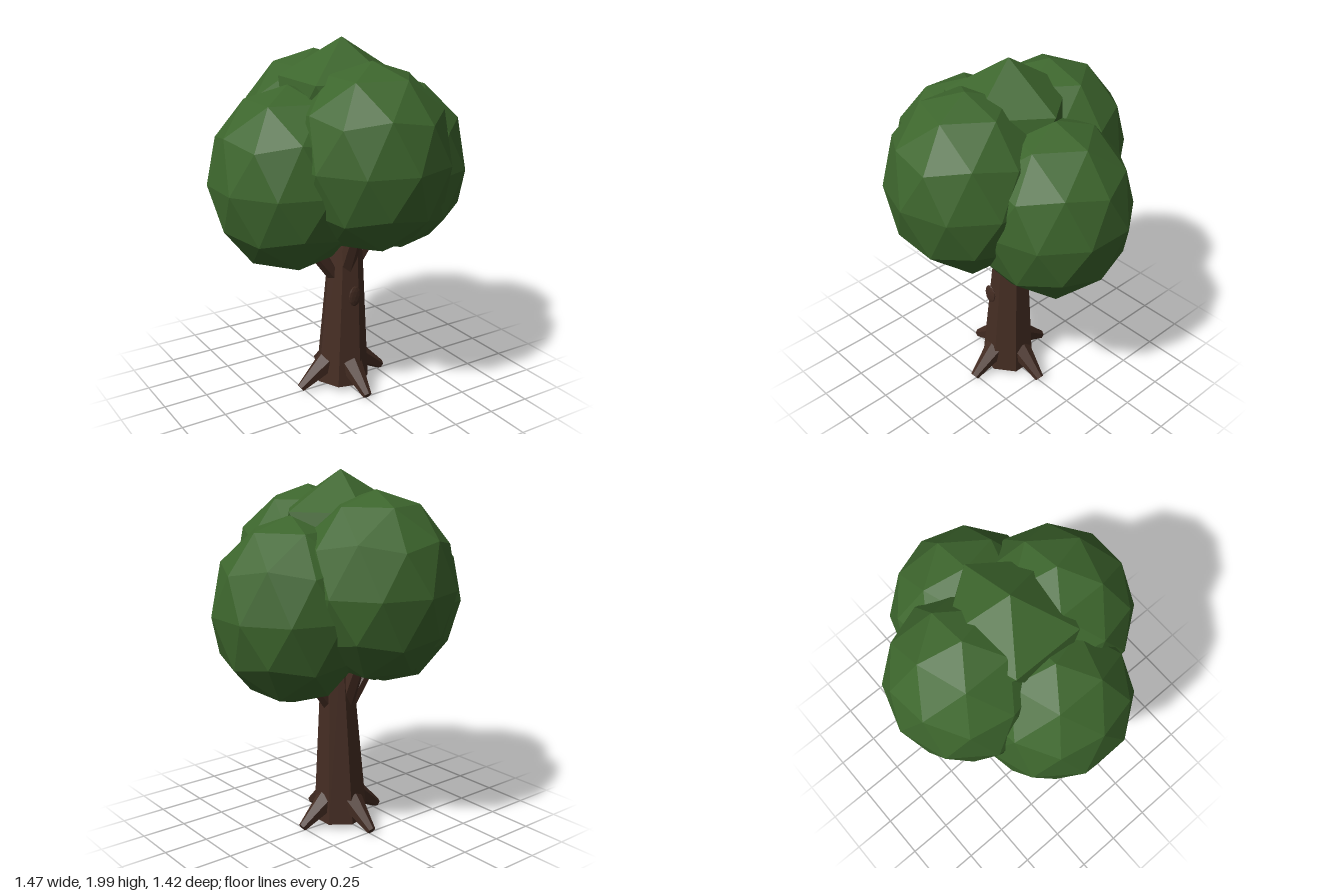
import * as THREE from 'three';

export function createModel() {
  const tree = new THREE.Group();
  tree.name = 'tree';
  const bark = new THREE.MeshStandardMaterial({ color: 0x452d23, flatShading: true });
  bark.name = 'bark brown';
  const leaf = new THREE.MeshStandardMaterial({ color: 0x3d662d, flatShading: true });
  leaf.name = 'leaf green';

  const add = (name, geometry, material) => {
    const mesh = new THREE.Mesh(geometry, material);
    mesh.name = name;
    tree.add(mesh);
    return mesh;
  };

  // Faceted ball with one corner pointing straight up
  const ball = (rx, ry, rz, detail) =>
    new THREE.IcosahedronGeometry(1, detail)
      .rotateX(-Math.atan2((1 + Math.sqrt(5)) / 2, 1))
      .rotateY(Math.PI / 2)
      .scale(rx, ry, rz);

  // Tapered six-sided limb running outward from (out0, y0) to (out1, y1), turned about the trunk
  const limb = (name, [out0, y0], [out1, y1], r0, r1, turn) => {
    const dx = out1 - out0, dy = y1 - y0;
    const g = new THREE.CylinderGeometry(r1, r0, Math.hypot(dx, dy), 6)
      .rotateY(Math.PI / 2)
      .rotateZ(Math.atan2(dy, dx) - Math.PI / 2)
      .translate((out0 + out1) / 2, (y0 + y1) / 2, 0)
      .rotateY(turn);
    add(name, g, bark);
  };

  // Seven-sided trunk, leaning slightly to +x
  const trunk = add('trunk',
    new THREE.CylinderGeometry(0.076, 0.155, 1.1, 7).rotateY(-Math.PI / 2).translate(0, 0.55, 0), bark);
  trunk.position.y = 0.036;
  trunk.rotation.z = -0.03;

  // Roots and branches on four sides
  for (let i = 0; i < 4; i++) {
    const turn = i * Math.PI / 2;
    limb('root', [0.1, 0.155], [0.275, 0.031], 0.066, 0.025, turn);
    if (i % 2 === 0) limb('sideBranch', [0.02, 0.65], [0.28, 0.98], 0.045, 0.033, turn);
    else limb('steepBranch', [0.04, 0.72], [0.22, 1.12], 0.05, 0.035, turn);
  }

  // Flat knot on the front of the trunk
  add('knot', ball(0.04, 0.06, 0.01, 1), bark).position.set(0, 0.59, 0.14);

  // Four large leaf clumps and a simpler crown on top
  for (const s of [-1, 1]) {
    add('sideFoliage', ball(0.43, 0.5, 0.43, 1), leaf).position.set(s * 0.325, 1.28, 0);
    add('frontBackFoliage', ball(0.43, 0.5, 0.425, 1), leaf).position.set(0, 1.41, s * 0.287);
  }
  add('topFoliage', ball(0.377, 0.37, 0.372, 0), leaf).position.set(0, 1.63, 0);

  return tree;
}
